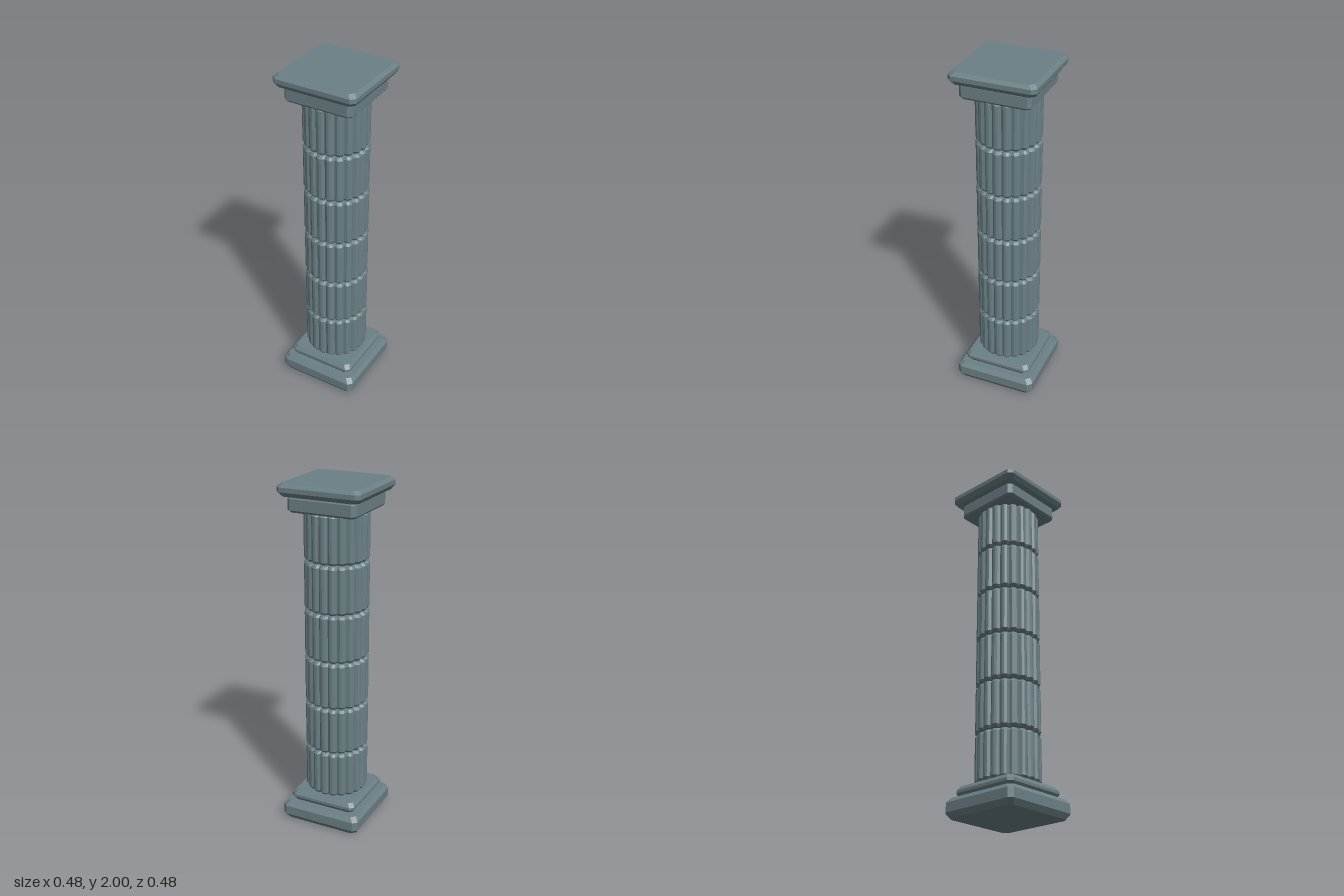
import * as THREE from 'three';

const material = new THREE.MeshStandardMaterial({ color: 0x6b8085, flatShading: true });

// Closed solid through rings stacked upward; levels are [y, inset], section(inset) gives [x, z] points
function loft(name, section, levels) {
  const pos = [], index = [];
  const n = section(0).length;
  for (const [y, inset] of levels) {
    for (const [x, z] of section(inset)) pos.push(x, y, z);
  }
  const last = levels.length - 1;
  const bottom = n * levels.length, top = bottom + 1;
  pos.push(0, levels[0][0], 0, 0, levels[last][0], 0);
  for (let i = 0; i < n; i++) {
    const j = (i + 1) % n;
    for (let k = 0; k < last; k++) {
      const a = k * n + i, b = k * n + j;
      index.push(a, b, b + n, a, b + n, a + n);
    }
    index.push(bottom, j, i, top, last * n + i, last * n + j);
  }
  const geometry = new THREE.BufferGeometry();
  geometry.setAttribute('position', new THREE.Float32BufferAttribute(pos, 3));
  geometry.setIndex(index);
  geometry.computeVertexNormals();
  const mesh = new THREE.Mesh(geometry, material);
  mesh.name = name;
  return mesh;
}

// Square with cut corners
const square = (half, cut) => (inset) => {
  const h = half - inset, c = h - cut;
  return [[h, c], [h, -c], [c, -h], [-c, -h], [-h, -c], [-h, c], [-c, h], [c, h]];
};

// Twenty rounded ribs with narrow grooves between them
const FLUTES = 20;
const ribProfile = [0, 0.003, 0.015, 0.003];
const fluted = (radius) => (inset) => {
  const points = [], n = FLUTES * ribProfile.length;
  for (let i = 0; i < n; i++) {
    const a = -i / n * Math.PI * 2;
    const r = radius - inset - ribProfile[i % ribProfile.length];
    points.push([Math.cos(a) * r, Math.sin(a) * r]);
  }
  return points;
};

// Slab bevelled along its bottom and top edges
function slab(name, half, cut, y0, y1, low, high, inset) {
  return loft(name, square(half, cut), [[y0, inset], [y0 + low, 0], [y1 - high, 0], [y1, inset]]);
}

export function createModel() {
  const column = new THREE.Group();
  column.name = 'column';

  // Base
  column.add(slab('plinth', 0.242, 0.024, 0, 0.108, 0.03, 0.025, 0.02));
  column.add(slab('baseStep', 0.202, 0.022, 0.112, 0.172, 0.022, 0.022, 0.016));

  // Shaft of stacked drums with thin joints
  const drums = new THREE.Group();
  drums.name = 'shaft';
  const pitch = 0.279, height = 0.271;
  for (let i = 0; i < 6; i++) {
    const y = 0.18 + i * pitch, top = y + height;
    drums.add(loft('drum' + (i + 1), fluted(0.181),
      [[y, 0.012], [y + 0.014, 0], [top - 0.014, 0], [top, 0.012]]));
  }
  column.add(drums);

  // Capital
  column.add(slab('capitalBlock', 0.2, 0.02, 1.845, 1.93, 0.012, 0.012, 0.01));
  column.add(slab('topSlab', 0.242, 0.024, 1.932, 2, 0.025, 0.018, 0.018));

  return column;
}
